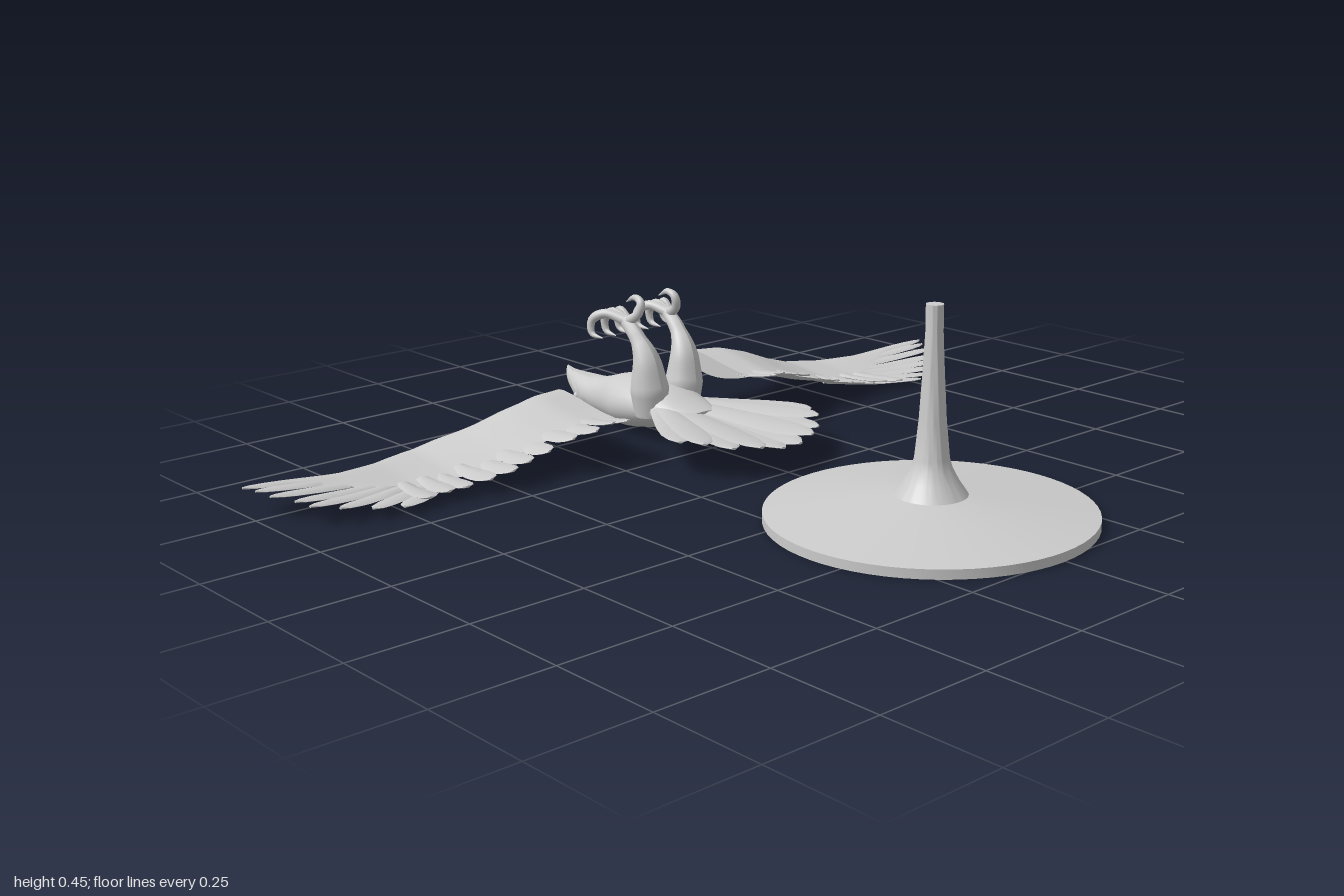
import * as THREE from 'three';
import { toCreasedNormals } from 'three/addons/utils/BufferGeometryUtils.js';

const grey = new THREE.MeshStandardMaterial({ color: 0xcccccc, side: THREE.DoubleSide });
const CX = -0.006; // the bird sits slightly off the centre line

function mesh(name, geometry, parent) {
  const m = new THREE.Mesh(geometry, grey);
  m.name = name;
  parent.add(m);
  return m;
}

// Linear lookup in a list of [key, value] pairs
function lookup(table, k) {
  let i = 1;
  while (i < table.length - 1 && k > table[i][0]) i++;
  const [a, b] = [table[i - 1], table[i]];
  const t = THREE.MathUtils.clamp((k - a[0]) / (b[0] - a[0]), 0, 1);
  return a[1] + (b[1] - a[1]) * t;
}

// Closed skin over equal-length rings of points
function loft(rings) {
  const n = rings[0].length, pos = [], idx = [];
  rings.forEach(r => r.forEach(p => pos.push(p.x, p.y, p.z)));
  for (let i = 0; i < rings.length - 1; i++) for (let j = 0; j < n; j++) {
    const a = i * n + j, b = i * n + (j + 1) % n;
    idx.push(a, a + n, b, b, a + n, b + n);
  }
  const cap = (ring, base, flip) => {
    const c = ring.reduce((s, p) => s.add(p), new THREE.Vector3()).divideScalar(n);
    const ci = pos.length / 3;
    pos.push(c.x, c.y, c.z);
    for (let j = 0; j < n; j++) {
      const a = base + j, b = base + (j + 1) % n;
      idx.push(ci, flip ? b : a, flip ? a : b);
    }
  };
  cap(rings[0], 0, false);
  cap(rings[rings.length - 1], (rings.length - 1) * n, true);
  const g = new THREE.BufferGeometry();
  g.setAttribute('position', new THREE.Float32BufferAttribute(pos, 3));
  g.setIndex(idx);
  return toCreasedNormals(g, 0.9);
}

// Thin blade from a to b (each [x, z]) lying on the surface height(x, z)
const BLADE = [[0, 0.6], [0.3, 0.85], [0.6, 1], [0.82, 0.95], [0.94, 0.65], [1, 0.15]];
function feather(a, b, width, height, thick = 0.005) {
  const d = new THREE.Vector3(b[0] - a[0], 0, b[1] - a[1]).normalize();
  const side = d.clone().cross(new THREE.Vector3(0, 1, 0));
  const rings = [];
  for (let i = 0; i <= 16; i++) {
    const t = i / 16, w = width * lookup(BLADE, t);
    const x = a[0] + (b[0] - a[0]) * t, z = a[1] + (b[1] - a[1]) * t;
    const ring = [];
    for (let j = 0; j < 8; j++) {
      const q = j / 8 * Math.PI * 2, o = Math.cos(q) * w;
      const px = x + side.x * o, pz = z + side.z * o;
      ring.push(new THREE.Vector3(px, height(px, pz) + Math.sin(q) * thick * (1.1 - 0.6 * t), pz));
    }
    rings.push(ring);
  }
  return loft(rings);
}

// Tube whose radius follows a list of values spread along its path
function taperTube(points, radii, n = 24) {
  const curve = new THREE.CatmullRomCurve3(points.map(p => new THREE.Vector3(...p)));
  const g = new THREE.TubeGeometry(curve, n, 1, 12);
  const table = radii.map((r, i) => [i / (radii.length - 1), r]);
  const p = g.attributes.position, v = new THREE.Vector3();
  for (let i = 0; i < p.count; i++) {
    const t = Math.floor(i / 13) / n, c = curve.getPointAt(t);
    v.fromBufferAttribute(p, i).sub(c).multiplyScalar(lookup(table, t)).add(c);
    p.setXYZ(i, v.x, v.y, v.z);
  }
  g.computeVertexNormals();
  return g;
}

// Wing layout, by distance from the centre line
const LEAD = [[0.2, -0.562], [0.3, -0.552], [0.42, -0.572], [0.5, -0.603], [0.57, -0.615],
  [0.63, -0.605], [0.7, -0.585], [0.8, -0.56], [0.92, -0.545]];
const REAR = [[0.2, -0.34], [0.4, -0.375], [0.6, -0.42], [0.75, -0.47], [0.85, -0.52], [0.92, -0.54]];
const RISE = [[0.2, 0.112], [0.28, 0.11], [0.36, 0.09], [0.46, 0.058], [0.56, 0.033], [0.66, 0.027], [0.8, 0.033], [1, 0.052]];
const THICK = [[0.2, 0.033], [0.35, 0.03], [0.5, 0.022], [0.65, 0.014], [0.92, 0.004]];
// Feathers: base x, base z, tip x, tip z, half width
const PRIMARIES = [
  [0.72, -0.56, 1.0, -0.54, 0.015], [0.7, -0.54, 0.985, -0.515, 0.016], [0.68, -0.52, 0.975, -0.475, 0.018],
  [0.65, -0.5, 0.945, -0.43, 0.019], [0.63, -0.49, 0.935, -0.39, 0.019], [0.61, -0.48, 0.885, -0.36, 0.02],
  [0.58, -0.47, 0.825, -0.335, 0.022], [0.56, -0.46, 0.765, -0.315, 0.024]];
const SECONDARIES = [[0.7, 0.32], [0.65, 0.325], [0.605, 0.325], [0.555, 0.31], [0.505, 0.3], [0.46, 0.305],
  [0.405, 0.31], [0.35, 0.295], [0.3, 0.28], [0.255, 0.28], [0.222, 0.27]];

function wing(s) {
  const g = new THREE.Group();
  g.name = s > 0 ? 'leftWing' : 'rightWing';
  const tilt = s > 0 ? [[0.2, 0.012], [0.6, 0], [1, -0.01]] : [[0.2, -0.012], [0.6, 0], [1, 0.02]];
  const height = (x, z) => {
    const k = Math.abs(x), v = (z - lookup(LEAD, k)) / 0.29;
    return lookup(RISE, k) + lookup(tilt, k) + 0.02 * (2 * v - 1) ** 2 * (1.2 - k) - 0.006;
  };
  // Fleshy front part, an aerofoil swept along the span
  const rings = [];
  for (let i = 0; i <= 40; i++) {
    const k = 0.2 + 0.72 * i / 40, a = lookup(LEAD, k), b = lookup(REAR, k), ring = [];
    for (let j = 0; j < 24; j++) {
      const q = s * j / 24 * Math.PI * 2, c = Math.cos(q);
      const z = (a + b) / 2 + (b - a) / 2 * c;
      ring.push(new THREE.Vector3(s * k, height(s * k, z) + lookup(THICK, k) * Math.sin(q) * (0.6 - 0.42 * c), z));
    }
    rings.push(ring);
  }
  mesh('wingArm', loft(rings), g);
  PRIMARIES.forEach(([x, z, tx, tz, w], i) =>
    mesh('primaryFeather', feather([s * x, z], [s * tx, tz], w, (a, b) => height(a, b) - i * 0.001), g));
  SECONDARIES.forEach(([x, z], i) =>
    mesh('secondaryFeather', feather([s * (x - 0.02 * (x - 0.22) / 0.4), -0.46], [s * x, -z], 0.025,
      (a, b) => height(a, b) + (i % 2) * 0.003), g));
  g.position.x = s > 0 ? -0.005 : -0.003;
  return g;
}

function stand() {
  const g = new THREE.Group();
  g.name = 'stand';
  const profile = [[0, 0.01], [0.34, 0.01], [0.34, 0.03], [0.075, 0.065], [0.055, 0.095], [0.042, 0.12],
    [0.036, 0.14], [0.028, 0.22], [0.022, 0.32], [0.018, 0.4], [0.018, 0.455], [0, 0.455]];
  const lathe = new THREE.LatheGeometry(profile.map(p => new THREE.Vector2(...p)), 64);
  mesh('standBase', toCreasedNormals(lathe, 0.5), g);
  g.position.set(-0.008, 0, 0.425);
  return g;
}

function leg(s) {
  const g = new THREE.Group();
  g.name = s > 0 ? 'leftLeg' : 'rightLeg';
  const tube = (name, pts, radii) => mesh(name, taperTube(pts.map(([x, y, z]) => [s * x, y, z]), radii), g);
  tube('thigh', [[0.045, 0.07, -0.4], [0.052, 0.14, -0.4], [0.056, 0.2, -0.405], [0.06, 0.245, -0.43], [0.062, 0.28, -0.468]],
    [0.04, 0.045, 0.034, 0.019, 0.015]);
  // Three curled front toes and one back toe
  for (const dx of [-0.032, 0.004, 0.042])
    tube('frontToe', [[0.062, 0.278, -0.462], [0.062 + dx * 0.6, 0.292, -0.51], [0.062 + dx, 0.275, -0.538],
      [0.062 + dx * 1.1, 0.245, -0.535], [0.062 + dx, 0.238, -0.5]], [0.013, 0.011, 0.011, 0.008, 0.001]);
  tube('backToe', [[0.062, 0.275, -0.465], [0.056, 0.3, -0.43], [0.05, 0.325, -0.428], [0.048, 0.333, -0.45], [0.048, 0.318, -0.482]],
    [0.013, 0.011, 0.01, 0.007, 0.001]);
  g.position.x = CX;
  return g;
}

function body() {
  const g = new THREE.Group();
  g.name = 'body';
  // Sections from rump to hooked beak: z, y, half width, half height
  const sections = [[-0.27, 0.084, 0.045, 0.008], [-0.32, 0.085, 0.062, 0.022], [-0.37, 0.083, 0.075, 0.042],
    [-0.43, 0.08, 0.085, 0.056], [-0.5, 0.074, 0.085, 0.062], [-0.55, 0.07, 0.071, 0.059], [-0.6, 0.063, 0.053, 0.05],
    [-0.64, 0.059, 0.047, 0.044], [-0.68, 0.06, 0.043, 0.041], [-0.71, 0.066, 0.035, 0.034], [-0.735, 0.073, 0.025, 0.027],
    [-0.755, 0.08, 0.017, 0.021], [-0.768, 0.09, 0.01, 0.014], [-0.773, 0.102, 0.004, 0.004]];
  const rail = k => new THREE.SplineCurve(sections.map(s => new THREE.Vector2(s[0], s[k])));
  const rails = [1, 2, 3].map(rail), rings = [];
  for (let i = 0; i <= 52; i++) {
    const [y, rx, ry] = rails.map(r => r.getPoint(i / 52));
    rings.push(Array.from({ length: 28 }, (_, j) => {
      const q = j / 28 * Math.PI * 2;
      return new THREE.Vector3(Math.cos(q) * rx.y, y.y + Math.sin(q) * ry.y, y.x);
    }));
  }
  mesh('torsoAndHead', loft(rings), g);
  for (const s of [-1, 1])
    mesh('eye', new THREE.SphereGeometry(0.008, 12, 8), g).position.set(s * 0.036, 0.052, -0.695);
  g.position.x = CX;
  return g;
}

// Tail fan of overlapping feathers
function tail() {
  const g = new THREE.Group();
  g.name = 'tail';
  const tips = [[0.025, 0.018], [0.075, 0.004], [0.125, -0.03], [0.168, -0.075], [0.194, -0.125]];
  tips.forEach(([x, z], i) => [-1, 1].forEach(s => {
    const height = (a, b) => 0.073 + 0.08 * Math.abs(a) - 0.035 * Math.min(0, b + 0.05) + (i % 2) * 0.004;
    mesh('tailFeather', feather([s * (0.01 + 0.01 * i), -0.37], [s * x, z], 0.042 - i * 0.002, height), g);
  }));
  g.position.x = CX;
  return g;
}

export function createModel() {
  const model = new THREE.Group();
  model.name = 'birdKit';
  model.add(stand(), body(), tail());
  for (const s of [-1, 1]) model.add(wing(s), leg(s));
  return model;
}
